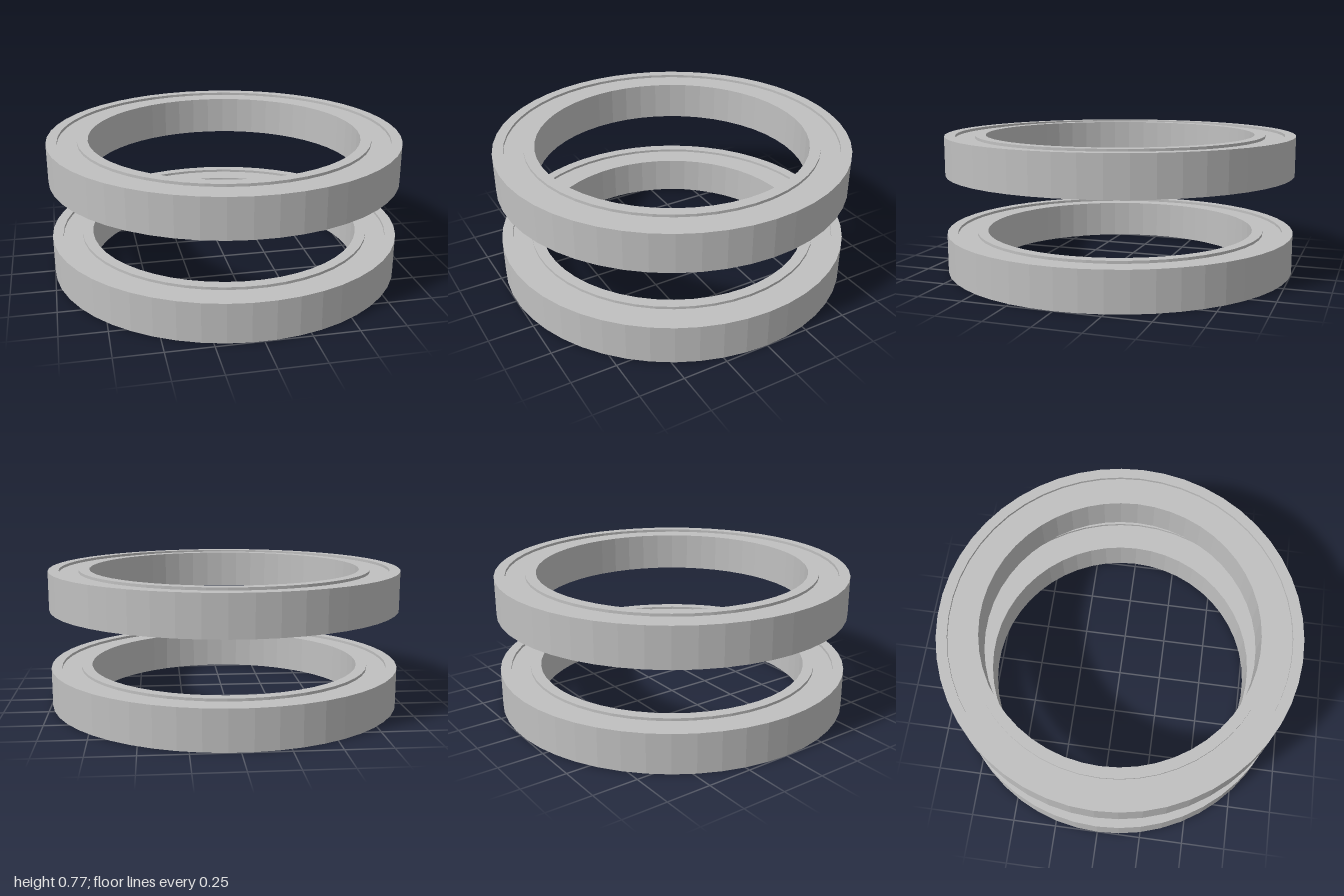
import * as THREE from 'three';

const SIDES = 50;
const HEIGHT = 0.22;
const RECESS = 0.015;

// Closed ring with a rectangular section and faceted sides
function ring(name, inner, outer, y0, y1, material) {
  const section = [[outer, y0], [outer, y1], [inner, y1], [inner, y0], [outer, y0]]
    .map(([r, y]) => new THREE.Vector2(r, y));
  const geometry = new THREE.LatheGeometry(section, SIDES, Math.PI / 2).toNonIndexed();
  geometry.computeVertexNormals();
  const mesh = new THREE.Mesh(geometry, material);
  mesh.name = name;
  return mesh;
}

// Two races with a slightly recessed shield between them
function bearing(name, y, material) {
  const group = new THREE.Group();
  group.name = name;
  group.add(
    ring('outerRace', 0.94, 1, 0, HEIGHT, material),
    ring('shield', 0.83, 0.94, RECESS, HEIGHT - RECESS, material),
    ring('innerRace', 0.77, 0.83, 0, HEIGHT, material),
  );
  group.position.y = y;
  return group;
}

export function createModel() {
  const steel = new THREE.MeshStandardMaterial({ color: 0xc0c0c0 });
  steel.name = 'steel grey';
  const model = new THREE.Group();
  model.name = 'bearingPair';
  model.add(bearing('lowerBearing', 0, steel), bearing('upperBearing', 0.553, steel));
  return model;
}
